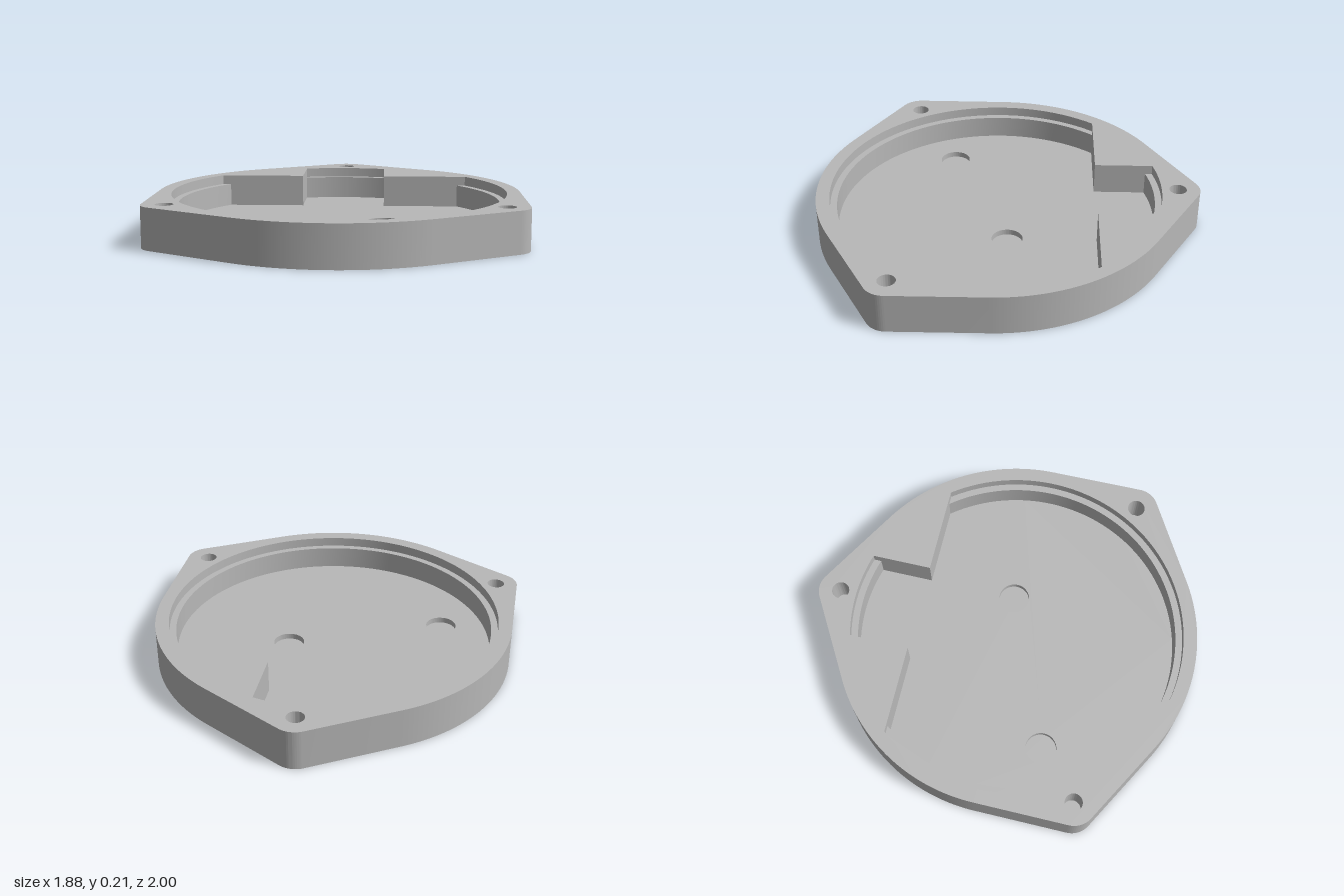
import * as THREE from 'three';
import { mergeGeometries, toCreasedNormals } from 'three/addons/utils/BufferGeometryUtils.js';

// Plan shapes are drawn in (x, -z); levels are heights in y
const CY = -0.065, R = 0.935, LOBE_D = 0.95, LOBE_R = 0.115;
const STEP_R = 0.865, POCKET_R = 0.83, CHORD = 0.46, NOTCH = 0.23;
const TOP = 0.21, LEDGE = 0.16, FLOOR = 0.04, RECESS = 0.01;
const SEG = 48, PI = Math.PI;

const lobeAngles = [PI / 2, PI * 7 / 6, PI * 11 / 6];
const lobeCentre = a => [LOBE_D * Math.cos(a), CY + LOBE_D * Math.sin(a)];

// Round body blended by tangents into three screw lobes
function outlineShape() {
  const s = new THREE.Shape(), t = Math.acos((R - LOBE_R) / LOBE_D);
  for (const a of lobeAngles) {
    s.absarc(...lobeCentre(a), LOBE_R, a - t, a + t, false);
    s.absarc(0, CY, R, a + t, a + PI * 2 / 3 - t, false);
  }
  return s;
}

const chordAngle = r => Math.asin((CHORD - CY) / r);
const notchAngle = r => Math.acos(NOTCH / r);

// Circular pocket cut by a chord, with a notch reaching the rim at the back
function pocketShape(r) {
  const s = new THREE.Shape(), a = chordAngle(r), b = notchAngle(r);
  s.absarc(0, CY, r, PI - a, 2 * PI + a, false);
  s.lineTo(NOTCH, CHORD);
  s.absarc(0, CY, r, b, PI - b, false);
  s.lineTo(-NOTCH, CHORD);
  return s;
}

// Strip between the two pocket radii
function ledgeShape(o0, o1, i0, i1) {
  const s = new THREE.Shape();
  s.absarc(0, CY, STEP_R, o0, o1, false);
  s.absarc(0, CY, POCKET_R, i1, i0, true);
  return s;
}

function circleShape([x, y], r) {
  const s = new THREE.Shape();
  s.absarc(x, y, r, 0, 2 * PI, false);
  return s;
}

// Horizontal face at height y
function face(shape, y, holes = []) {
  shape.holes = holes;
  return new THREE.ShapeGeometry(shape, SEG).rotateX(-PI / 2).translate(0, y, 0).toNonIndexed();
}

// Vertical wall along a closed shape; inward walls line a hole
function wall(shape, y0, y1, inward = false) {
  const pts = shape.getPoints(SEG);
  if (pts[0].distanceTo(pts[pts.length - 1]) < 1e-5) pts.pop();
  if (inward) pts.reverse();
  const pos = [], uv = [];
  pts.forEach((p, i) => {
    const q = pts[(i + 1) % pts.length];
    if (p.distanceTo(q) < 1e-5) return;
    pos.push(p.x, y0, -p.y, q.x, y0, -q.y, q.x, y1, -q.y);
    pos.push(p.x, y0, -p.y, q.x, y1, -q.y, p.x, y1, -p.y);
    uv.push(0, 0, 1, 0, 1, 1, 0, 0, 1, 1, 0, 1);
  });
  const g = new THREE.BufferGeometry();
  g.setAttribute('position', new THREE.Float32BufferAttribute(pos, 3));
  g.setAttribute('uv', new THREE.Float32BufferAttribute(uv, 2));
  g.computeVertexNormals();
  return toCreasedNormals(g, PI / 6);
}

export function createModel() {
  const model = new THREE.Group();
  model.name = 'housingCover';
  const grey = new THREE.MeshStandardMaterial({ color: 0xb8b8b8 });
  grey.name = 'grey';
  const add = (name, ...geos) => {
    const mesh = new THREE.Mesh(mergeGeometries(geos), grey);
    mesh.name = name;
    model.add(mesh);
  };

  const screwHoles = lobeAngles.map(a => circleShape(lobeCentre(a), 0.045));
  const recesses = [[0.23, 0], [-0.55, -0.32]].map(c => circleShape(c, 0.08));

  // Outer body
  add('outerWall', wall(outlineShape(), 0, TOP));
  add('rimTop', face(outlineShape(), TOP, [pocketShape(STEP_R), ...screwHoles]));
  const underside = face(outlineShape(), 0);
  underside.rotateZ(PI); // mirror-symmetric outline, so a half turn faces it down
  add('underside', underside);

  // Stepped pocket
  add('pocketStepWall', wall(pocketShape(STEP_R), LEDGE, TOP, true));
  add('pocketWall', wall(pocketShape(POCKET_R), FLOOR, LEDGE, true));
  const ao = chordAngle(STEP_R), ai = chordAngle(POCKET_R);
  const bo = notchAngle(STEP_R), bi = notchAngle(POCKET_R);
  add('pocketLedge',
    face(ledgeShape(PI - ao, 2 * PI + ao, PI - ai, 2 * PI + ai), LEDGE),
    face(ledgeShape(bo, PI - bo, bi, PI - bi), LEDGE));
  add('pocketFloor', face(pocketShape(POCKET_R), FLOOR, recesses));

  // Blind round holes
  for (const c of recesses) add('floorRecess', wall(c, RECESS, FLOOR, true), face(c, RECESS));
  for (const c of screwHoles) add('screwHole', wall(c, FLOOR, TOP, true), face(c, FLOOR));
  return model;
}
